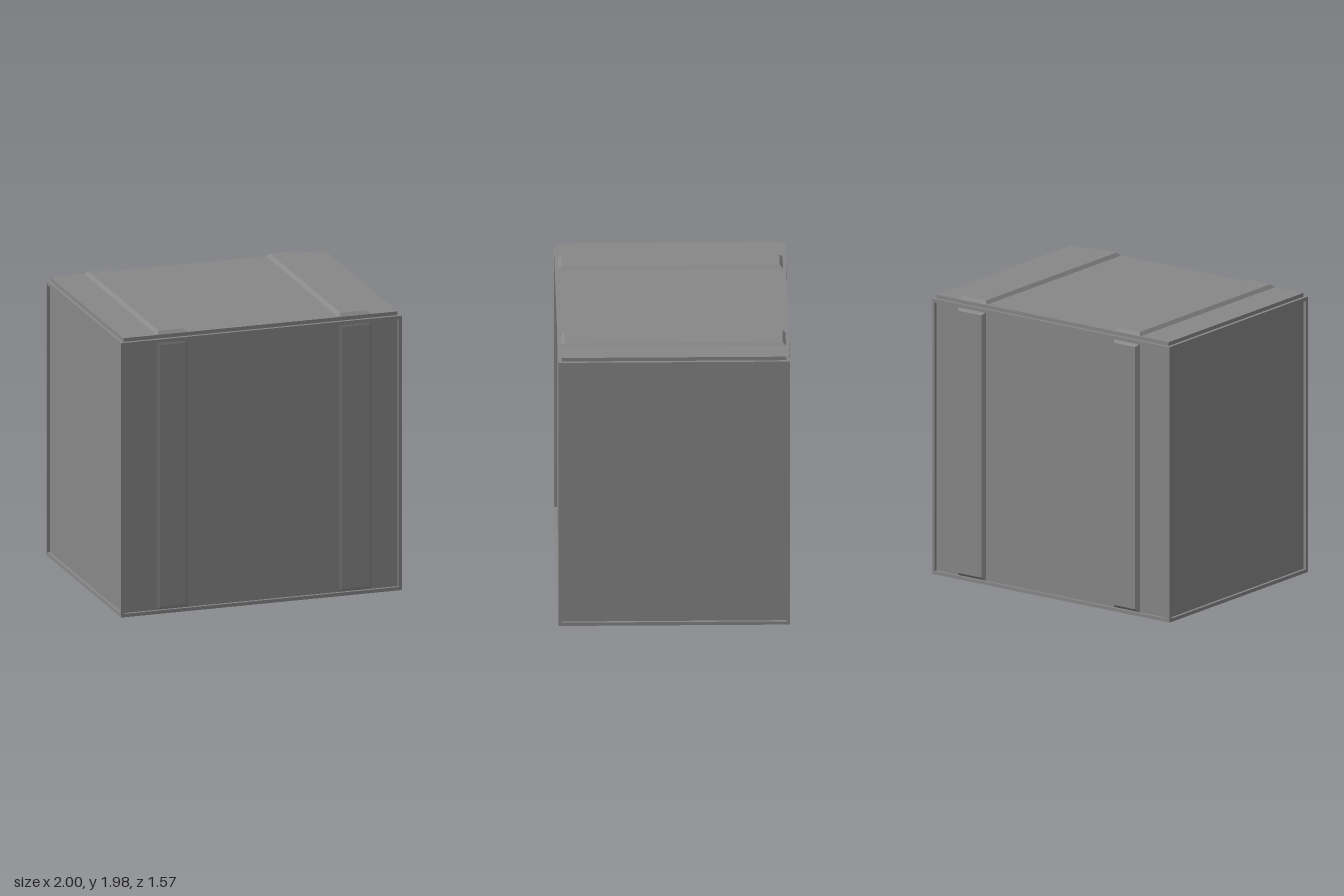
import * as THREE from 'three';

const W = 2, H = 1.93, D = 1.56;  // crate body
const EDGE = 0.024;               // width of the edge frame
const RECESS = 0.02;              // depth of the sunken side panels

const material = new THREE.MeshStandardMaterial({ color: 0x888888, flatShading: true });

function add(parent, name, geometry, x, y, z) {
  const mesh = new THREE.Mesh(geometry, material);
  mesh.name = name;
  mesh.position.set(x, y, z);
  parent.add(mesh);
  return mesh;
}

// Slat standing on z = 0, its outer face drawn in to bevel all four sides
function slatGeometry(width, length, height, bevel = 0.022) {
  const g = new THREE.BoxGeometry(width, length, height);
  g.translate(0, 0, height / 2);
  const p = g.attributes.position;
  for (let i = 0; i < p.count; i++) {
    if (p.getZ(i) > height / 2) {
      p.setX(i, p.getX(i) - Math.sign(p.getX(i)) * bevel);
      p.setY(i, p.getY(i) - Math.sign(p.getY(i)) * bevel);
    }
  }
  g.computeVertexNormals();
  return g;
}

export function createModel() {
  const model = new THREE.Group();
  model.name = 'crate';

  // Solid body whose sides form the sunken panels
  add(model, 'body', new THREE.BoxGeometry(W - 2 * RECESS, H, D - 2 * RECESS), 0, H / 2, 0);

  // Edge frame: four posts, and rails around the top and bottom
  const frame = new THREE.Group();
  frame.name = 'edgeFrame';
  model.add(frame);
  const ex = (W - EDGE) / 2, ez = (D - EDGE) / 2;
  for (const s of [-1, 1]) {
    for (const t of [-1, 1]) {
      add(frame, 'cornerPost', new THREE.BoxGeometry(EDGE, H, EDGE), s * ex, H / 2, t * ez);
      const y = H / 2 + t * (H - EDGE) / 2;
      add(frame, 'longRail', new THREE.BoxGeometry(W - 2 * EDGE, EDGE, EDGE), 0, y, s * ez);
      add(frame, 'sideRail', new THREE.BoxGeometry(EDGE, EDGE, D - 2 * EDGE), s * ex, y, 0);
    }
  }

  // Raised lid
  const lidTop = 1.956;
  add(model, 'lid', new THREE.BoxGeometry(W - 0.046, lidTop - H, D - 0.046), 0, (H + lidTop) / 2, 0);

  // Two bevelled slats over the lid and down the back, nearly flush on the front
  for (const [x0, x1] of [[-0.738, -0.518], [0.557, 0.793]]) {
    const x = (x0 + x1) / 2, w = x1 - x0;
    const top = add(model, 'lidSlat', slatGeometry(w, D - 0.046, 0.022), x, lidTop, 0);
    top.rotation.x = -Math.PI / 2;
    add(model, 'frontSlat', slatGeometry(w, H - 2 * EDGE, 0.003), x, H / 2, D / 2 - RECESS);
    const back = add(model, 'backSlat', slatGeometry(w, H - 2 * EDGE, 0.025), x, H / 2, -D / 2 + RECESS);
    back.rotation.y = Math.PI;
  }
  return model;
}
